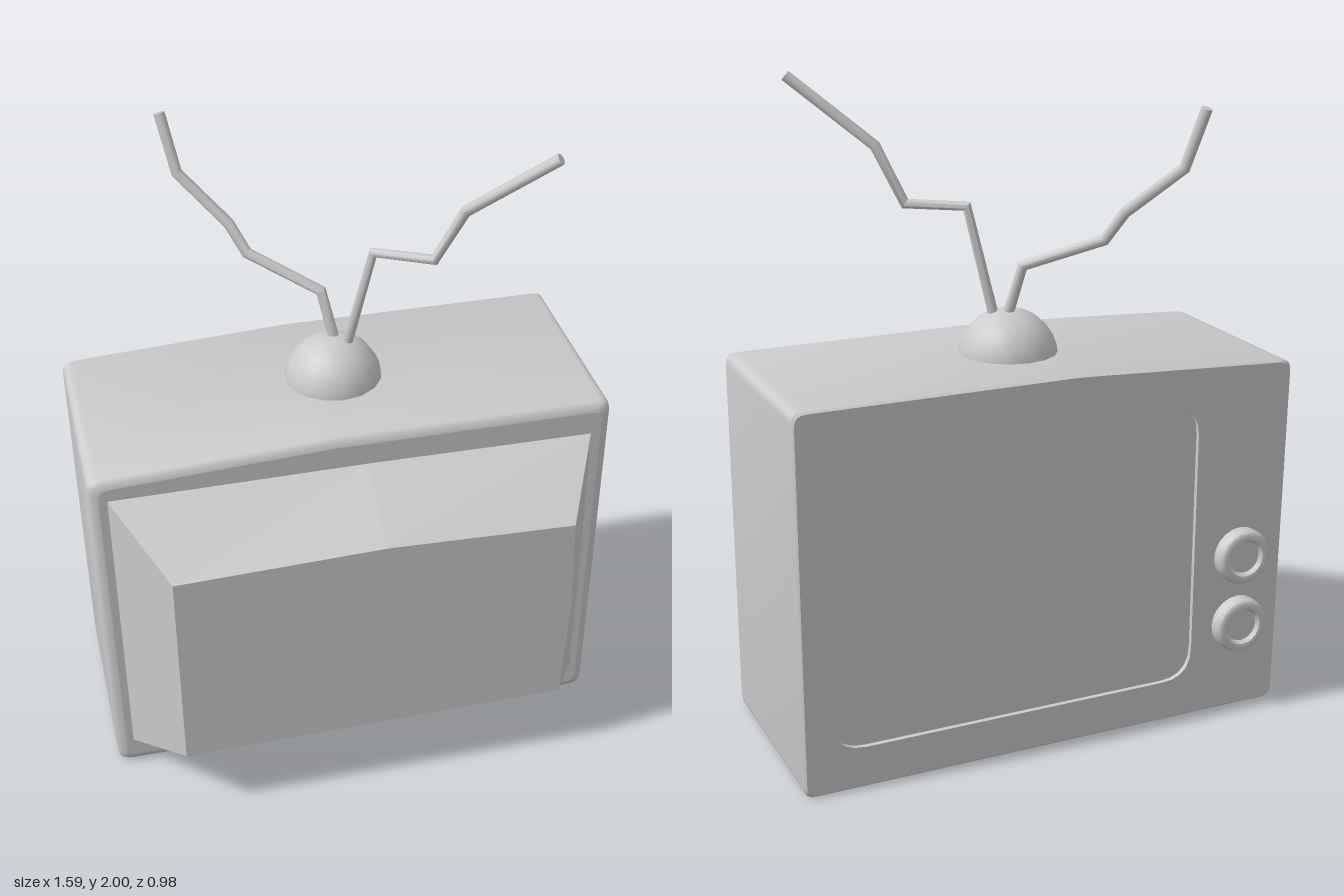
import * as THREE from 'three';
import { toCreasedNormals } from 'three/addons/utils/BufferGeometryUtils.js';

const smooth = new THREE.MeshStandardMaterial({ color: 0xcccccc });
const flat = new THREE.MeshStandardMaterial({ color: 0xcccccc, flatShading: true });
const V = (x, y, z) => new THREE.Vector3(x, y, z);

// Counter-clockwise polygon with softened corners, as a list of points
function rounded(corners, r, steps = 4) {
  const pts = corners.map(([x, y]) => new THREE.Vector2(x, y));
  const out = [];
  pts.forEach((p, i) => {
    const toward = (q) => p.clone().add(q.clone().sub(p).setLength(r));
    const a = toward(pts[(i + pts.length - 1) % pts.length]);
    const b = toward(pts[(i + 1) % pts.length]);
    out.push(...new THREE.QuadraticBezierCurve(a, p, b).getPoints(steps));
  });
  return out;
}

// Wall through matching rings; outward when z falls, inward when z rises
function loft(rings) {
  const n = rings[0].pts.length, pos = [], index = [];
  for (const { pts, z } of rings) for (const p of pts) pos.push(p.x, p.y, z);
  for (let i = 0; i < rings.length - 1; i++) {
    for (let j = 0; j < n; j++) {
      const k = (j + 1) % n, a = i * n, b = a + n;
      index.push(a + j, b + j, a + k, b + j, b + k, a + k);
    }
  }
  const g = new THREE.BufferGeometry();
  g.setAttribute('position', new THREE.Float32BufferAttribute(pos, 3));
  g.setIndex(index);
  g.computeVertexNormals();
  return g;
}

// Flat face at height z, optionally with a hole, facing +z or -z
function face(pts, z, back = false, hole = null) {
  const shape = new THREE.Shape(pts);
  if (hole) shape.holes.push(new THREE.Path(hole));
  const g = new THREE.ShapeGeometry(shape).translate(0, 0, z);
  if (back) g.index.array.reverse();
  g.computeVertexNormals();
  return g;
}

// Path with hard bends at its given points
class BentPath extends THREE.Curve {
  constructor(points) { super(); this.points = points; }
  getPointAt(u) {
    return this.points[Math.round(u * (this.points.length - 1))].clone();
  }
  getTangentAt(u) {
    const p = this.points, i = Math.round(u * (p.length - 1));
    const t = V(0, 0, 0);
    if (i > 0) t.add(p[i].clone().sub(p[i - 1]).normalize());
    if (i < p.length - 1) t.add(p[i + 1].clone().sub(p[i]).normalize());
    return t.normalize();
  }
}

export function createModel() {
  const root = new THREE.Group();
  root.name = 'television';
  const add = (name, geometry, material = smooth, parent = root) => {
    const mesh = new THREE.Mesh(geometry, material);
    mesh.name = name;
    parent.add(mesh);
    return mesh;
  };

  // Cabinet: lopsided box, softly bevelled at +z
  const outline = rounded(
    [[-0.785, 0], [0.79, 0], [0.79, 1.17], [-0.08, 1.17], [-0.8, 1.13]], 0.035);
  const inset = (d) => outline.map((p) =>
    new THREE.Vector2(p.x * (1 - d / 0.79), 0.585 + (p.y - 0.585) * (1 - d / 0.585)));
  const cabinet = new THREE.Group();
  cabinet.name = 'cabinet';
  root.add(cabinet);
  const profile = [[0.03, 0.245], [0.012, 0.24], [0.003, 0.228], [0, 0.21], [0, -0.412], [0.007, -0.42]];
  add('cabinetShell', toCreasedNormals(
    loft(profile.map(([d, z]) => ({ pts: inset(d), z }))), 0.8), smooth, cabinet);
  add('cabinetRear', face(inset(0.03), 0.245), smooth, cabinet);

  // Screen sunk a little into its surround
  const opening = rounded([[-0.48, 0.13], [0.7, 0.13], [0.7, 1.05], [-0.48, 1.03]], 0.1, 5);
  add('screenSurround', face(inset(0.007), -0.42, true, opening), smooth, cabinet);
  add('screenRim', loft([{ pts: opening, z: -0.42 }, { pts: opening, z: -0.405 }]), smooth, cabinet);
  add('screen', face(opening, -0.405, true), smooth, cabinet);

  // Tapered tube housing
  const poly = (list) => list.map(([x, y]) => new THREE.Vector2(x, y));
  const small = poly([[-0.595, 0.235], [0.605, 0.25], [0.617, 0.6], [0.605, 0.92], [0.03, 0.94], [-0.6, 0.92]]);
  const large = poly([[-0.735, 0.095], [0.74, 0.11], [0.738, 0.6], [0.73, 1.065], [0.03, 1.07], [-0.745, 1.065]]);
  add('tubeHousingSides', loft([{ pts: small, z: 0.49 }, { pts: large, z: 0.243 }]), flat);
  add('tubeHousingEnd', face(small, 0.49), flat);

  // Dials with a raised ring and a sunken centre
  const dialProfile = [[0.089, 0], [0.089, 0.028], [0.083, 0.04], [0.072, 0.045],
    [0.06, 0.043], [0.052, 0.03], [0, 0.03]].map(([x, y]) => new THREE.Vector2(x, y));
  for (const [name, y] of [['upperDial', 0.52], ['lowerDial', 0.29]]) {
    const g = toCreasedNormals(new THREE.LatheGeometry(dialProfile, 20), 0.7);
    g.rotateX(-Math.PI / 2);
    add(name, g).position.set(-0.64, y, -0.42);
  }

  // Aerial base
  add('aerialBase', new THREE.SphereGeometry(0.152, 16, 8, 0, Math.PI * 2, 0, Math.PI * 0.55))
    .position.set(0.005, 1.15, -0.1);

  // Bent aerials
  const aerials = {
    leftAerial: [V(0.04, 1.25, -0.092), V(0.115, 1.61, -0.05), V(0.275, 1.615, 0.04),
      V(0.35, 1.785, 0.08), V(0.575, 1.985, 0.207)],
    rightAerial: [V(0.02, 1.25, -0.108), V(-0.02, 1.44, -0.15), V(-0.22, 1.525, -0.28),
      V(-0.265, 1.61, -0.32), V(-0.4, 1.745, -0.42), V(-0.435, 1.92, -0.473)],
  };
  for (const [name, points] of Object.entries(aerials)) {
    const path = new BentPath(points), group = new THREE.Group();
    group.name = name;
    root.add(group);
    const tube = new THREE.TubeGeometry(path, points.length - 1, 0.017, 8, false);
    add(name + 'Rod', toCreasedNormals(tube, 0.85), smooth, group);
    const tip = add(name + 'Tip', new THREE.CircleGeometry(0.017, 8), smooth, group);
    tip.position.copy(points.at(-1));
    tip.quaternion.setFromUnitVectors(V(0, 0, 1), path.getTangentAt(1));
  }
  return root;
}
